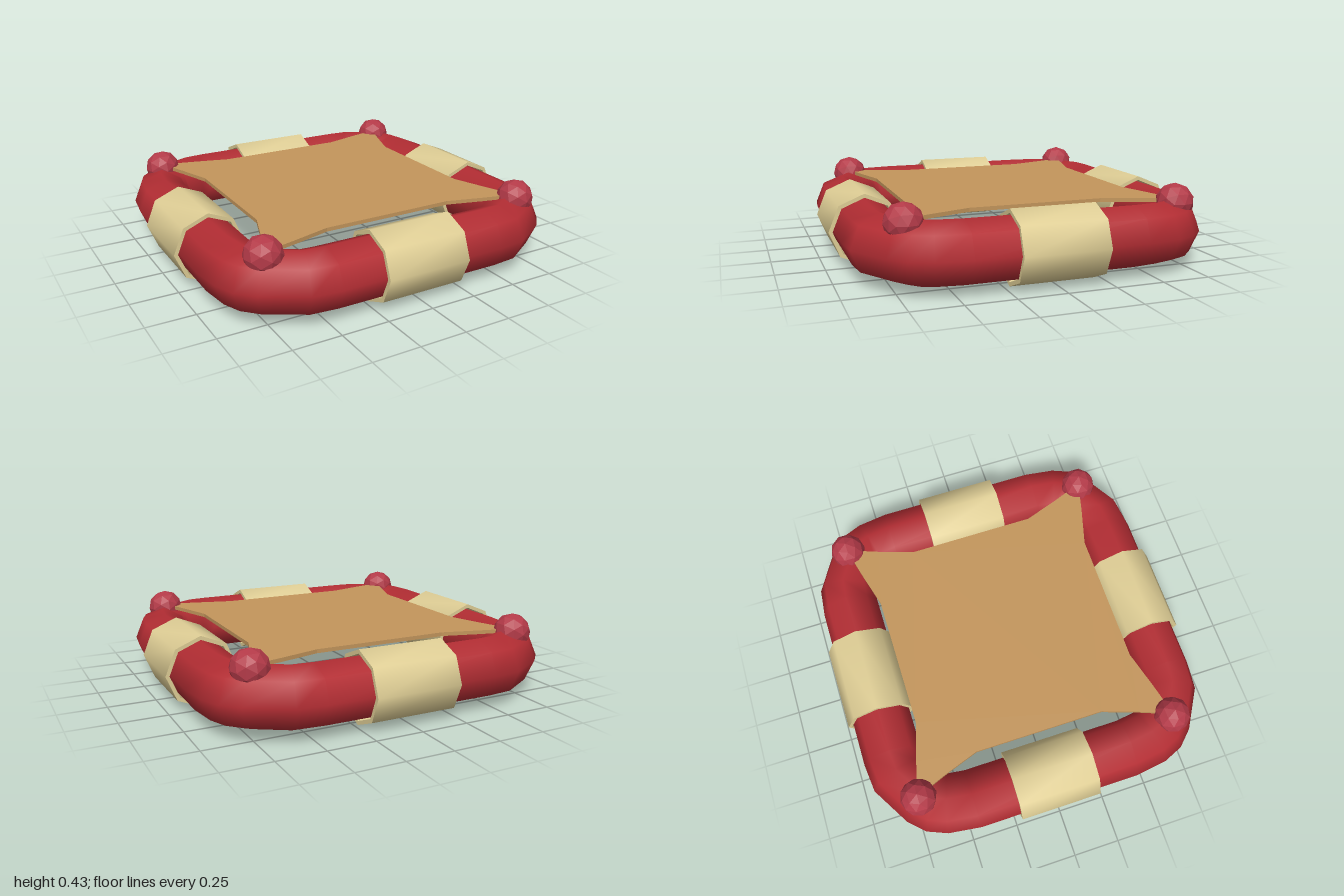
import * as THREE from 'three';
import { toCreasedNormals } from 'three/addons/utils/BufferGeometryUtils.js';

const MID_Y = 0.188;   // height of the ring's centre line
const SIDE_X = 0.812;  // centre line of the left and right sides
const SIDE_Z = 0.787;  // centre line of the front and back sides

const material = (color, options = {}) => new THREE.MeshStandardMaterial({ color, ...options });

function addMesh(parent, name, geometry, mat, x = 0, y = 0, z = 0) {
  const mesh = new THREE.Mesh(geometry, mat);
  mesh.name = name;
  mesh.position.set(x, y, z);
  parent.add(mesh);
  return mesh;
}

// Repeats one corner's [x, z, ...] points round the four quadrants, in order
function mirrorCorner(corner) {
  const flipped = [...corner].reverse();
  const place = (list, sx, sz) => list.map(([x, z, turn = 0]) => ({ x: x * sx, z: z * sz, turn, sx, sz }));
  return [...place(corner, 1, 1), ...place(flipped, -1, 1), ...place(corner, -1, -1), ...place(flipped, 1, -1)];
}

// Closed rounded-rectangle tube: one eight-sided section per path point
function tubeGeometry(radius, sides) {
  // x, z and outward direction in degrees
  const path = mirrorCorner([
    [SIDE_X, 0.44, 0], [0.794, 0.572, 16], [0.77, 0.635, 34],
    [0.72, 0.685, 50], [0.57, 0.777, 74], [0.46, SIDE_Z, 90],
  ]);
  const positions = [], index = [];
  path.forEach(({ x, z, turn, sx, sz }, i) => {
    const t = THREE.MathUtils.degToRad(turn);
    const next = (i + 1) % path.length;
    for (let j = 0; j < sides; j++) {
      const a = (j / sides) * Math.PI * 2;
      const out = radius * Math.cos(a);
      positions.push(x + sx * Math.cos(t) * out, MID_Y + radius * Math.sin(a), z + sz * Math.sin(t) * out);
      const k = (j + 1) % sides;
      const a0 = i * sides + j, a1 = i * sides + k, b0 = next * sides + j, b1 = next * sides + k;
      index.push(a0, a1, b0, a1, b1, b0);
    }
  });
  const geometry = new THREE.BufferGeometry();
  geometry.setAttribute('position', new THREE.Float32BufferAttribute(positions, 3));
  geometry.setIndex(index);
  geometry.computeVertexNormals();
  return geometry;
}

// Hollow eight-sided sleeve lying along x
function sleeveGeometry(length) {
  const h = length / 2, outer = 0.188, inner = 0.167;
  const profile = [[outer, -h], [outer, h], [inner, h], [inner, -h], [outer, -h]]
    .map(([r, y]) => new THREE.Vector2(r, y));
  return toCreasedNormals(new THREE.LatheGeometry(profile, 8).rotateZ(Math.PI / 2), 0.9);
}

export function createModel() {
  const model = new THREE.Group();
  model.name = 'raft';

  // Inflated ring
  addMesh(model, 'tubeRing', tubeGeometry(0.158, 8), material(0xb32d33));

  // Sleeves round the middle of each side
  const sleeveMat = material(0xe0cf96);
  for (const s of [1, -1]) {
    addMesh(model, s > 0 ? 'frontSleeve' : 'backSleeve', sleeveGeometry(0.46), sleeveMat, 0, MID_Y, s * SIDE_Z);
    const side = addMesh(model, s > 0 ? 'leftSleeve' : 'rightSleeve', sleeveGeometry(0.44), sleeveMat, s * SIDE_X, MID_Y, 0);
    side.rotation.y = Math.PI / 2;
  }

  // Stretched sheet with drawn-out corners
  const outline = mirrorCorner([[0.61, 0.35], [0.675, 0.54], [0.74, 0.71], [0.56, 0.665], [0.36, 0.61]])
    .map(({ x, z }) => new THREE.Vector2(x, z));
  const sheet = new THREE.ExtrudeGeometry(new THREE.Shape(outline), { depth: 0.02, bevelEnabled: false });
  addMesh(model, 'sheet', sheet.rotateX(Math.PI / 2), material(0xc4965c), 0, 0.348, 0);

  // Knobs pinning the sheet at the corners
  const knob = new THREE.IcosahedronGeometry(0.097, 1);
  const knobMat = material(0xb33a48, { flatShading: true });
  for (const x of [1, -1]) {
    for (const z of [1, -1]) {
      const name = (z > 0 ? 'front' : 'back') + (x > 0 ? 'Left' : 'Right') + 'Knob';
      addMesh(model, name, knob, knobMat, x * 0.74, 0.332, z * 0.705);
    }
  }
  return model;
}
